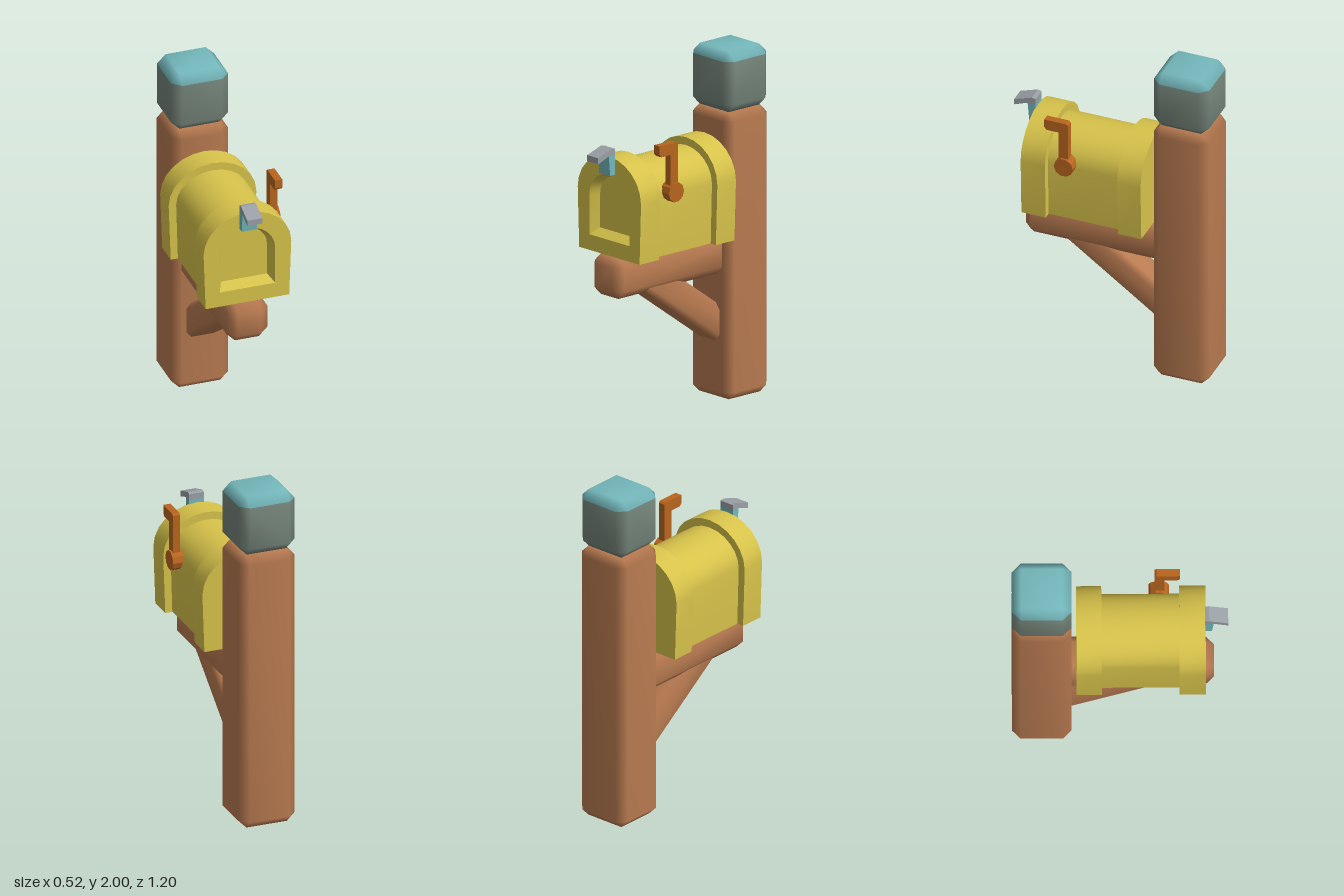
import * as THREE from 'three';
import { mergeVertices, toCreasedNormals } from 'three/addons/utils/BufferGeometryUtils.js';
import { ConvexGeometry } from 'three/addons/geometries/ConvexGeometry.js';

const CX = -0.007; // shared centre line of post and box
const material = (color) => new THREE.MeshStandardMaterial({ color });
const wood = material(0xb87a50);
const yellow = material(0xd6c24a);
const orange = material(0xb8651e);
const teal = material(0x74b8bc);
const slate = material(0x748479);
const steel = material(0x9aa0a6);

function add(parent, name, geometry, mat) {
  const mesh = new THREE.Mesh(geometry, mat);
  mesh.name = name;
  parent.add(mesh);
  return mesh;
}

// Box with one bevel on every edge and soft normals
function bevelBox(w, h, d, c) {
  const pts = [];
  for (const x of [-1, 1]) for (const y of [-1, 1]) for (const z of [-1, 1]) {
    for (const axis of [0, 1, 2]) {
      const half = [w / 2, h / 2, d / 2].map((v, i) => (i === axis ? v : v - c));
      pts.push(new THREE.Vector3(x * half[0], y * half[1], z * half[2]));
    }
  }
  const g = new ConvexGeometry(pts);
  g.deleteAttribute('normal');
  const merged = mergeVertices(g);
  merged.computeVertexNormals();
  return merged;
}

// Keep only the triangles whose centre height passes the test
function pickTriangles(geometry, test) {
  const g = geometry.clone();
  const p = g.attributes.position;
  const src = geometry.index.array;
  const kept = [];
  for (let i = 0; i < src.length; i += 3) {
    const t = [src[i], src[i + 1], src[i + 2]];
    if (test((p.getY(t[0]) + p.getY(t[1]) + p.getY(t[2])) / 3)) kept.push(...t);
  }
  g.setIndex(kept);
  return g;
}

// Counter-clockwise arch outline: straight sides below half an ellipse
function arch(bottomHalf, half, bottom, spring, top, n = 12) {
  const pts = [new THREE.Vector2(CX - bottomHalf, bottom), new THREE.Vector2(CX + bottomHalf, bottom)];
  for (let i = 0; i <= n; i++) {
    const a = (Math.PI * i) / n;
    pts.push(new THREE.Vector2(CX + half * Math.cos(a), spring + (top - spring) * Math.sin(a)));
  }
  return pts;
}

function archBlock(outline, z0, z1, hole) {
  const shape = new THREE.Shape(outline);
  if (hole) shape.holes.push(new THREE.Path(hole));
  const g = new THREE.ExtrudeGeometry(shape, { depth: z1 - z0, bevelEnabled: false });
  g.translate(0, 0, z0);
  return toCreasedNormals(g, 0.6);
}

// Tapered wall from an outline at z0 to a smaller one at z1
function taperedWall(outer, inner, z0, z1) {
  const v = [];
  outer.forEach((a, i) => {
    const j = (i + 1) % outer.length;
    const b = outer[j], c = inner[j], d = inner[i];
    v.push(a.x, a.y, z0, b.x, b.y, z0, d.x, d.y, z1, b.x, b.y, z0, c.x, c.y, z1, d.x, d.y, z1);
  });
  const g = new THREE.BufferGeometry();
  g.setAttribute('position', new THREE.Float32BufferAttribute(v, 3));
  return toCreasedNormals(g, 0.6);
}

// Side profile of (z, y) points given thickness from x0 to x1
function sideProfile(points, x0, x1) {
  const shape = new THREE.Shape(points.map(([z, y]) => new THREE.Vector2(z, y)));
  const g = new THREE.ExtrudeGeometry(shape, { depth: x1 - x0, bevelEnabled: false });
  g.rotateY(-Math.PI / 2);
  g.translate(x1, 0, 0);
  return g;
}

export function createModel() {
  const model = new THREE.Group();
  model.name = 'mailboxOnPost';

  // Timber frame
  add(model, 'post', bevelBox(0.335, 1.65, 0.33, 0.047), wood).position.set(CX, 0.825, -0.43);
  add(model, 'arm', bevelBox(0.24, 0.235, 0.87, 0.05), wood).position.set(CX - 0.002, 0.838, 0.086);
  const brace = add(model, 'brace', bevelBox(0.19, 0.18, 0.824, 0.03), wood);
  brace.position.set(CX, 0.59, -0.065);
  brace.rotation.x = -0.622;

  // Post cap: weathered sides with a painted top
  const cap = new THREE.Group();
  cap.name = 'postCap';
  cap.position.set(CX, 1.825, -0.43);
  model.add(cap);
  const capBlock = bevelBox(0.335, 0.35, 0.33, 0.05);
  add(cap, 'capSides', pickTriangles(capBlock, (y) => y < 0.128), slate);
  add(cap, 'capTop', pickTriangles(capBlock, (y) => y >= 0.128), teal);

  // Arched box with a collar at each end
  const box = new THREE.Group();
  box.name = 'mailbox';
  model.add(box);
  const collar = arch(0.245, 0.257, 0.955, 1.3, 1.525);
  const opening = arch(0.163, 0.163, 1.045, 1.27, 1.425);
  const panel = arch(0.135, 0.135, 1.08, 1.27, 1.4);
  add(box, 'boxBody', archBlock(arch(0.203, 0.213, 0.956, 1.3, 1.48), -0.12, 0.35), yellow);
  add(box, 'backCollar', archBlock(collar, -0.24, -0.1), yellow);
  add(box, 'frontCollar', archBlock(collar, 0.33, 0.475, opening), yellow);

  // Sunken door panel
  add(box, 'doorRecess', taperedWall(opening, panel, 0.475, 0.42), yellow);
  const door = new THREE.ShapeGeometry(new THREE.Shape(panel));
  add(box, 'doorPanel', door.translate(0, 0, 0.42), yellow);

  // Door handle: upright plate and sloping hook
  const handle = new THREE.Group();
  handle.name = 'doorHandle';
  model.add(handle);
  add(handle, 'handlePlate', sideProfile([[0.472, 1.43], [0.51, 1.43], [0.52, 1.545], [0.472, 1.545]], -0.052, 0.037), teal);
  add(handle, 'handleHook', sideProfile(
    [[0.472, 1.545], [0.52, 1.545], [0.6, 1.515], [0.6, 1.55], [0.495, 1.585], [0.472, 1.58]], -0.052, 0.037), steel);

  // Signal flag on the left side
  const flag = new THREE.Group();
  flag.name = 'signalFlag';
  model.add(flag);
  const pivot = new THREE.CylinderGeometry(0.057, 0.057, 0.07, 10).rotateZ(Math.PI / 2);
  add(flag, 'flagPivot', toCreasedNormals(pivot, 0.4), orange).position.set(0.225, 1.326, 0.217);
  add(flag, 'flagArm', sideProfile(
    [[0.194, 1.33], [0.25, 1.33], [0.25, 1.545], [0.32, 1.545], [0.335, 1.56], [0.335, 1.61], [0.205, 1.61], [0.194, 1.6]],
    0.205, 0.248), orange);

  return model;
}
